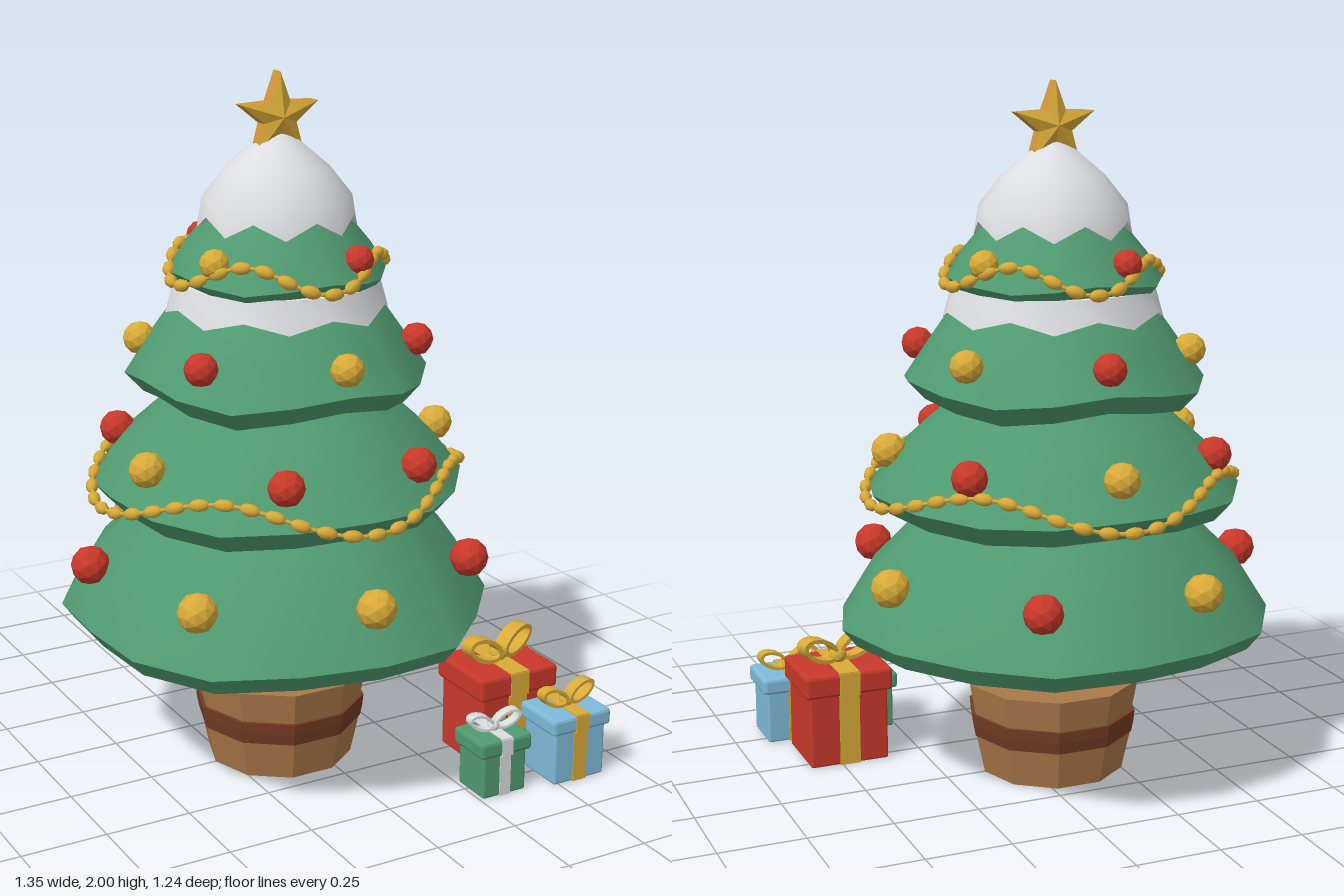
import * as THREE from 'three';
import { mergeGeometries, toCreasedNormals } from 'three/addons/utils/BufferGeometryUtils.js';
import { RoundedBoxGeometry } from 'three/addons/geometries/RoundedBoxGeometry.js';

const mat = (name, color) => Object.assign(new THREE.MeshStandardMaterial({ color }), { name });
const green = mat('fir green', 0x509a70);
const white = mat('snow white', 0xdcdde0);
const gold = mat('gold', 0xd8aa38);
const amber = mat('star edge amber', 0xd6963c);
const red = mat('red', 0xc8382a);
const wood = mat('pot wood', 0xaa7848);
const band = mat('pot band brown', 0x733c24);
const bark = mat('trunk brown', 0x7c4a30);
const blue = mat('gift blue', 0x7ebad8);

// Uneven hem: relative radius every 22.5 degrees, starting at the front
const HEM = [0.99, 1.02, 0.95, 0.99, 1.04, 1, 0.97, 1.03, 1, 0.985, 1.03, 1.02, 0.97, 1.01, 1.02, 0.97];

function add(parent, name, geometry, material, x = 0, y = 0, z = 0) {
  const m = new THREE.Mesh(geometry, material);
  m.name = name;
  m.position.set(x, y, z);
  parent.add(m);
  return m;
}

// Sixteen-sided lathe with uneven radius; wave(angle, row) shifts heights
function skirt(profile, amount, wave) {
  const g = new THREE.LatheGeometry(profile.map(p => new THREE.Vector2(...p)), 16);
  const pos = g.attributes.position;
  for (let i = 0; i < pos.count; i++) {
    const row = i % profile.length;
    const k = Math.floor(i / profile.length) % 16;
    const f = 1 + (HEM[k] - 1) * amount;
    pos.setXYZ(i, pos.getX(i) * f, pos.getY(i) + wave(k * Math.PI / 8, row), pos.getZ(i) * f);
  }
  g.deleteAttribute('uv');
  return toCreasedNormals(g, 0.8);
}

const facet = g => toCreasedNormals(g, 0.2);

// Five-pointed star with raised centres and a separate rim colour
function starGeometry(R, r, edge, peak) {
  const pts = [];
  for (let i = 0; i < 10; i++) {
    const a = Math.PI / 2 + i * Math.PI / 5, q = i % 2 ? r : R;
    pts.push([q * Math.cos(a), q * Math.sin(a)]);
  }
  const faces = [], rim = [];
  pts.forEach((p, i) => {
    const n = pts[(i + 1) % 10];
    faces.push(0, 0, peak, ...p, edge, ...n, edge);
    faces.push(0, 0, -peak, ...n, -edge, ...p, -edge);
    rim.push(...p, edge, ...p, -edge, ...n, -edge, ...p, edge, ...n, -edge, ...n, edge);
  });
  const g = new THREE.BufferGeometry();
  g.setAttribute('position', new THREE.Float32BufferAttribute([...faces, ...rim], 3));
  g.addGroup(0, faces.length / 3, 0);
  g.addGroup(faces.length / 3, rim.length / 3, 1);
  g.computeVertexNormals();
  return g;
}

// Bead string draped around a tier in four swags
function garland(parent, name, r, dr, y, dy, count) {
  const at = a => new THREE.Vector3(
    (r + dr * Math.cos(4 * a)) * Math.sin(a), y - dy * Math.cos(4 * a), (r + dr * Math.cos(4 * a)) * Math.cos(a));
  const pts = [];
  for (let i = 0; i < 64; i++) pts.push(at(i * Math.PI / 32));
  const curve = new THREE.CatmullRomCurve3(pts, true);
  const xAxis = new THREE.Vector3(1, 0, 0);
  const beads = [];
  for (let i = 0; i < count; i++) {
    const b = new THREE.SphereGeometry(1, 8, 6).rotateZ(Math.PI / 2).scale(0.029, 0.018, 0.018);
    b.applyQuaternion(new THREE.Quaternion().setFromUnitVectors(xAxis, curve.getTangentAt(i / count)));
    beads.push(b.translate(...curve.getPointAt(i / count).toArray()));
  }
  add(parent, name + 'Beads', mergeGeometries(beads), gold);
  add(parent, name + 'String', new THREE.TubeGeometry(curve, 96, 0.006, 5, true), gold);
}

// Two ribbon loops and a knot
function bow(material, s, turn) {
  const g = new THREE.Group();
  g.name = 'bow';
  for (const side of [-1, 1]) {
    const loop = new THREE.Shape();
    loop.absellipse(0, 0, 0.066, 0.036, 0, Math.PI * 2);
    const hole = new THREE.Path();
    hole.absellipse(0, 0, 0.053, 0.024, 0, Math.PI * 2);
    loop.holes.push(hole);
    const geo = new THREE.ExtrudeGeometry(loop, { depth: 0.045, bevelEnabled: false, curveSegments: 8 });
    geo.translate(0, 0, -0.0225).rotateZ(side * 0.42).rotateY(side * turn * 0.5);
    add(g, 'bowLoop', toCreasedNormals(geo, 0.7), material, side * 0.064, 0.046, 0);
  }
  add(g, 'bowKnot', facet(new THREE.IcosahedronGeometry(0.027, 1)), material, 0, 0.02, 0);
  g.scale.setScalar(s);
  g.rotation.y = turn;
  return g;
}

// Box with lid, one ribbon running front to back, and a bow
function gift(parent, name, [x, z], [w, h, d], lidH, ribbonW, paper, ribbon, bowSize, turn) {
  const g = new THREE.Group();
  g.name = name;
  g.position.set(x, 0, z);
  const bodyW = w - 0.028, bodyD = d - 0.02, bodyH = h - lidH;
  add(g, 'giftBox', facet(new RoundedBoxGeometry(bodyW, bodyH + 0.01, bodyD, 1, 0.006)), paper, 0, bodyH / 2 + 0.005, 0);
  add(g, 'giftLid', facet(new RoundedBoxGeometry(w, lidH, d, 1, 0.01)), paper, 0, h - lidH / 2, 0);
  for (const side of [-1, 1]) {
    add(g, 'boxRibbon', new THREE.BoxGeometry(ribbonW, bodyH, 0.006), ribbon, 0, bodyH / 2, side * bodyD / 2);
    add(g, 'lidRibbon', new THREE.BoxGeometry(ribbonW, lidH, 0.006), ribbon, 0, h - lidH / 2, side * d / 2);
  }
  add(g, 'topRibbon', new THREE.BoxGeometry(ribbonW, 0.006, d), ribbon, 0, h, 0);
  const b = bow(ribbon, bowSize, turn);
  b.position.y = h;
  g.add(b);
  parent.add(g);
}

export function createModel() {
  const model = new THREE.Group();
  model.name = 'decoratedTree';
  const tree = new THREE.Group();
  tree.name = 'tree';
  tree.position.x = -0.08;
  model.add(tree);

  // Pot and trunk
  const ring = (name, top, bottom, y0, y1, m, sides = 10) => add(tree, name,
    facet(new THREE.CylinderGeometry(top, bottom, y1 - y0, sides).rotateY(Math.PI / sides)), m, 0, (y0 + y1) / 2, 0);
  ring('potBase', 0.24, 0.212, 0, 0.13, wood);
  ring('potBandLower', 0.247, 0.24, 0.115, 0.15, band);
  ring('potBandUpper', 0.25, 0.247, 0.15, 0.182, band);
  ring('potRim', 0.257, 0.238, 0.17, 0.275, wood);
  ring('trunk', 0.1, 0.115, 0.26, 0.5, bark, 8);

  // Four overlapping tiers of branches, bottom to top
  const tiers = [
    [[[0, 0.46], [0.575, 0.432], [0.615, 0.485], [0.52, 0.64], [0.41, 0.75], [0.3, 0.86]], 1, 0.006],
    [[[0, 0.84], [0.48, 0.802], [0.53, 0.86], [0.445, 0.97], [0.345, 1.06], [0.22, 1.16]], 0.6, 0.01],
    [[[0, 1.16], [0.375, 1.115], [0.425, 1.17], [0.365, 1.26], [0.295, 1.36], [0.2, 1.46]], 0.7, 0.018],
    [[[0, 1.46], [0.262, 1.405], [0.305, 1.455], [0.262, 1.525], [0.2, 1.6], [0.08, 1.76]], 0.6, 0.012],
  ];
  tiers.forEach(([profile, amount, lift], i) => add(tree, 'branchTier' + (i + 1),
    skirt(profile, amount, (a, row) => (row === 1 || row === 2 ? lift * Math.cos(4 * a) : 0)), green));

  // Snow with a jagged lower edge
  const jag = size => (a, row) => (row < 2 ? size * Math.cos(8 * a) : 0);
  add(tree, 'snowBand', skirt([[0.27, 1.365], [0.312, 1.355], [0.287, 1.43], [0.2, 1.455]], 0.4, jag(0.016)), white);
  add(tree, 'snowCap',
    skirt([[0.17, 1.6], [0.222, 1.597], [0.208, 1.66], [0.145, 1.74], [0.06, 1.812], [0, 1.845]], 0.3, jag(0.022)), white);

  // Baubles: count, height, ring radius, bauble radius, first angle, first colour
  const baubles = [
    [7, 0.635, 0.55, 0.056, 0, gold, red],
    [7, 0.97, 0.47, 0.051, Math.PI / 7, red, gold],
    [6, 1.255, 0.388, 0.047, 0, gold, red],
    [4, 1.515, 0.275, 0.042, 0.42, red, gold],
  ];
  for (const [n, y, r, size, start, first, second] of baubles) {
    for (let i = 0; i < n; i++) {
      const a = start + i * 2 * Math.PI / n;
      add(tree, 'bauble', facet(new THREE.IcosahedronGeometry(size, 1)), i % 2 ? second : first,
        r * Math.sin(a), y, r * Math.cos(a));
    }
  }

  garland(tree, 'lowerGarland', 0.522, 0.027, 0.885, 0.04, 48);
  garland(tree, 'upperGarland', 0.298, 0.017, 1.48, 0.035, 30);

  add(tree, 'star', starGeometry(0.123, 0.052, 0.02, 0.043), [gold, amber], 0, 1.877, 0);

  // Gifts beside the pot
  gift(model, 'redGift', [0.477, 0.318], [0.266, 0.285, 0.235], 0.07, 0.062, red, gold, 1, 0.2);
  gift(model, 'blueGift', [0.57, 0.533], [0.2, 0.205, 0.17], 0.05, 0.045, blue, gold, 0.75, 0.08);
  gift(model, 'greenGift', [0.33, 0.518], [0.17, 0.175, 0.147], 0.05, 0.036, green, white, 0.65, -0.1);
  return model;
}
